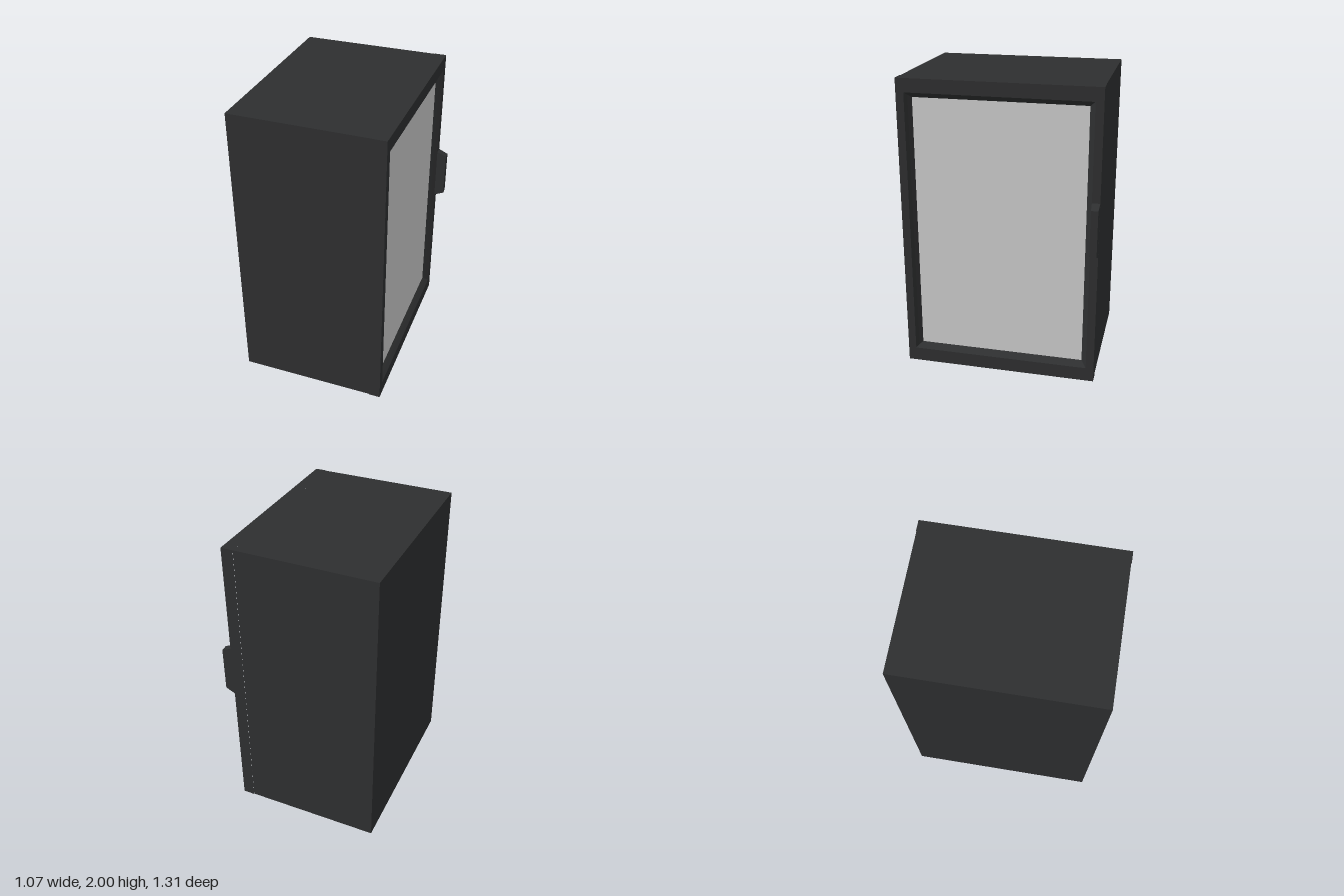
import * as THREE from 'three';

const dark = new THREE.MeshStandardMaterial({ color: 0x2e2f30, flatShading: true });
const glass = new THREE.MeshStandardMaterial({ color: 0xcccccc });

function add(group, name, geometry, material, x = 0, y = 0, z = 0) {
  const mesh = new THREE.Mesh(geometry, material);
  mesh.name = name;
  mesh.position.set(x, y, z);
  group.add(mesh);
  return mesh;
}

// Skin between successive rectangles [x, zMin, zMax, yMin, yMax]
function loftRectangles(rings) {
  const loops = rings.map(([x, z0, z1, y0, y1]) =>
    [[x, y0, z1], [x, y0, z0], [x, y1, z0], [x, y1, z1]]);
  const pos = [];
  for (let r = 0; r < loops.length - 1; r++) {
    for (let i = 0; i < 4; i++) {
      const j = (i + 1) % 4;
      const a = loops[r][i], b = loops[r][j], c = loops[r + 1][j], d = loops[r + 1][i];
      pos.push(...a, ...b, ...c, ...a, ...c, ...d);
    }
  }
  const geo = new THREE.BufferGeometry();
  geo.setAttribute('position', new THREE.Float32BufferAttribute(pos, 3));
  geo.computeVertexNormals();
  return geo;
}

export function createModel() {
  const model = new THREE.Group();
  model.name = 'glassDoorCabinet';

  // Closed cabinet behind the door
  add(model, 'cabinetBody', new THREE.BoxGeometry(0.92, 1.998, 1.3), dark, -0.075, 1, 0);

  // Door on the +x side: frame with a stepped bevel down to the pane
  const door = new THREE.Group();
  door.name = 'door';
  model.add(door);
  add(door, 'doorFrame', loftRectangles([
    [0.384, -0.653, 0.653, 0, 2],
    [0.465, -0.653, 0.653, 0, 2],
    [0.465, -0.6, 0.6, 0.095, 1.91],
    [0.445, -0.582, 0.582, 0.113, 1.893],
    [0.425, -0.565, 0.56, 0.13, 1.875],
    [0.4, -0.565, 0.56, 0.13, 1.875],
  ]), dark);
  add(door, 'glassPane', new THREE.BoxGeometry(0.02, 1.75, 1.13), glass, 0.415, 1.0025, -0.0025);

  // Tapered pull handle at the back edge of the door
  const handle = loftRectangles([
    [0.46, -0.653, -0.6, 0.91, 1.277],
    [0.53, -0.65, -0.604, 0.94, 1.248],
    [0.53, -0.627, -0.627, 1.094, 1.094],
  ]);
  add(door, 'handle', handle, dark);

  return model;
}
